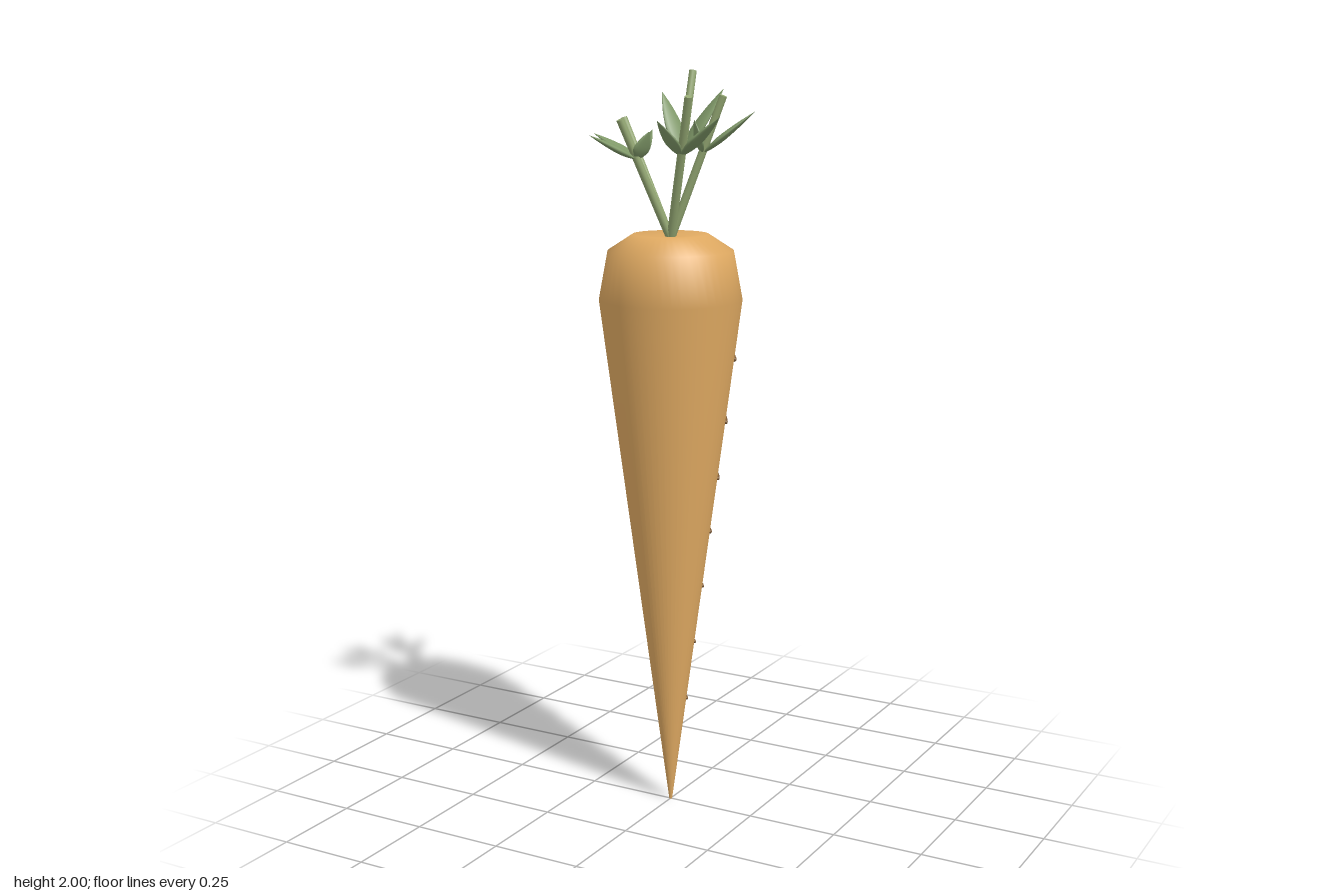
import * as THREE from 'three';

const V = (x, y, z) => new THREE.Vector3(x, y, z);
const mat = (color) => new THREE.MeshStandardMaterial({ color });

export function createModel() {
  const model = new THREE.Group();
  model.name = 'carrot';
  const orange = mat(0xe0aa62), brown = mat(0x7d5a35), stemGreen = mat(0x94a873), leafGreen = mat(0x7f9868);

  const add = (name, geometry, material, parent = model) => {
    const mesh = new THREE.Mesh(geometry, material);
    mesh.name = name;
    parent.add(mesh);
    return mesh;
  };

  // Root: tapered body with a rounded shoulder and a slight dimple on top
  const profile = [[0, 0], [0.004, 0], [0.19, 1.41], [0.166, 1.54], [0.1, 1.583], [0, 1.575]];
  add('root', new THREE.LatheGeometry(profile.map(([r, y]) => new THREE.Vector2(r, y)), 48), orange);

  // Creases: thin arcs hugging one side of the root, shrinking downwards
  const tilts = [0, 0.011, 0.007, -0.003, -0.008, -0.008, -0.002];
  const facing = THREE.MathUtils.degToRad(55);
  tilts.forEach((tilt, i) => {
    const y = 1.248 - i * 0.159;
    const half = 0.067 - i * 0.0082;
    const points = [];
    for (let k = -3; k <= 3; k++) {
      const s = k / 3;
      const py = y + tilt * s + 0.008 * (1 - s * s) * (1 - i * 0.1);
      const r = 0.004 + 0.132 * py + 0.001;
      const a = facing + s * Math.asin(half / r);
      points.push(V(r * Math.cos(a), py, -r * Math.sin(a)));
    }
    const crease = new THREE.Group();
    crease.name = 'crease';
    const radius = 0.0065 - i * 0.0004;
    add('creaseArc', new THREE.TubeGeometry(new THREE.CatmullRomCurve3(points), 16, radius, 8), brown, crease);
    for (const p of [points[0], points[6]]) {
      add('creaseEnd', new THREE.SphereGeometry(radius, 8, 6), brown, crease).position.copy(p);
    }
    model.add(crease);
  });

  // Leaf: pointed lathe squashed flat, running from base to tip along +y
  const leafProfile = new THREE.SplineCurve([[0, 0], [0.3, 0.14], [0.48, 0.36], [0.38, 0.62], [0.2, 0.83], [0, 1]]
    .map(([r, t]) => new THREE.Vector2(r, t))).getPoints(16);
  leafProfile.forEach((p) => { p.x = Math.max(p.x, 0); });
  const leafGeometry = new THREE.LatheGeometry(leafProfile, 16);
  const addLeaf = (name, base, tip, width, across, parent) => {
    const dir = tip.clone().sub(base);
    const length = dir.length();
    dir.normalize();
    const side = across ? across.clone() : V(0, 1, 0).cross(dir);
    side.addScaledVector(dir, -side.dot(dir)).normalize();
    const normal = side.clone().cross(dir);
    const leaf = add(name, leafGeometry, leafGreen, parent);
    leaf.quaternion.setFromRotationMatrix(new THREE.Matrix4().makeBasis(side, dir, normal));
    leaf.scale.set(width, length, width * 0.28);
    leaf.position.copy(base);
  };

  // Stems: each carries one large and one small leaf
  const crown = V(0, 1.57, 0);
  const sprigs = [
    { top: V(0.14, 1.94, -0.025), at: 0.6, large: V(0.214, 1.9, -0.058), small: V(0.077, 1.88, 0.015), across: V(0.74, 0, 0.67) },
    { top: V(0.104, 1.94, 0.095), at: 0.59, large: V(0.178, 1.89, 0.065), small: V(0.031, 1.88, 0.127) },
    { top: V(-0.087, 1.88, 0.11), at: 0.67, large: V(-0.16, 1.84, 0.143), small: V(-0.021, 1.85, 0.076), across: V(0.34, 0, -0.94) },
    { top: V(-0.142, 1.88, 0), at: 0.66, large: V(-0.214, 1.84, 0.033), small: V(-0.072, 1.85, -0.03), across: V(0.85, 0, 0.5) },
    { top: V(-0.012, 2, -0.142), at: 0.52, large: V(0.063, 1.955, -0.176), small: V(-0.086, 1.945, -0.108) },
  ];
  for (const { top, at, large, small, across } of sprigs) {
    const sprig = new THREE.Group();
    sprig.name = 'sprig';
    const dir = top.clone().sub(crown);
    const stem = add('stem', new THREE.CylinderGeometry(0.01, 0.011, dir.length(), 12), stemGreen, sprig);
    stem.position.copy(crown).addScaledVector(dir, 0.5);
    stem.quaternion.setFromUnitVectors(V(0, 1, 0), dir.clone().normalize());
    const base = crown.clone().addScaledVector(dir, at);
    addLeaf('largeLeaf', base, large, 0.066, null, sprig);
    addLeaf('smallLeaf', base, small, 0.058, across, sprig);
    model.add(sprig);
  }
  return model;
}
